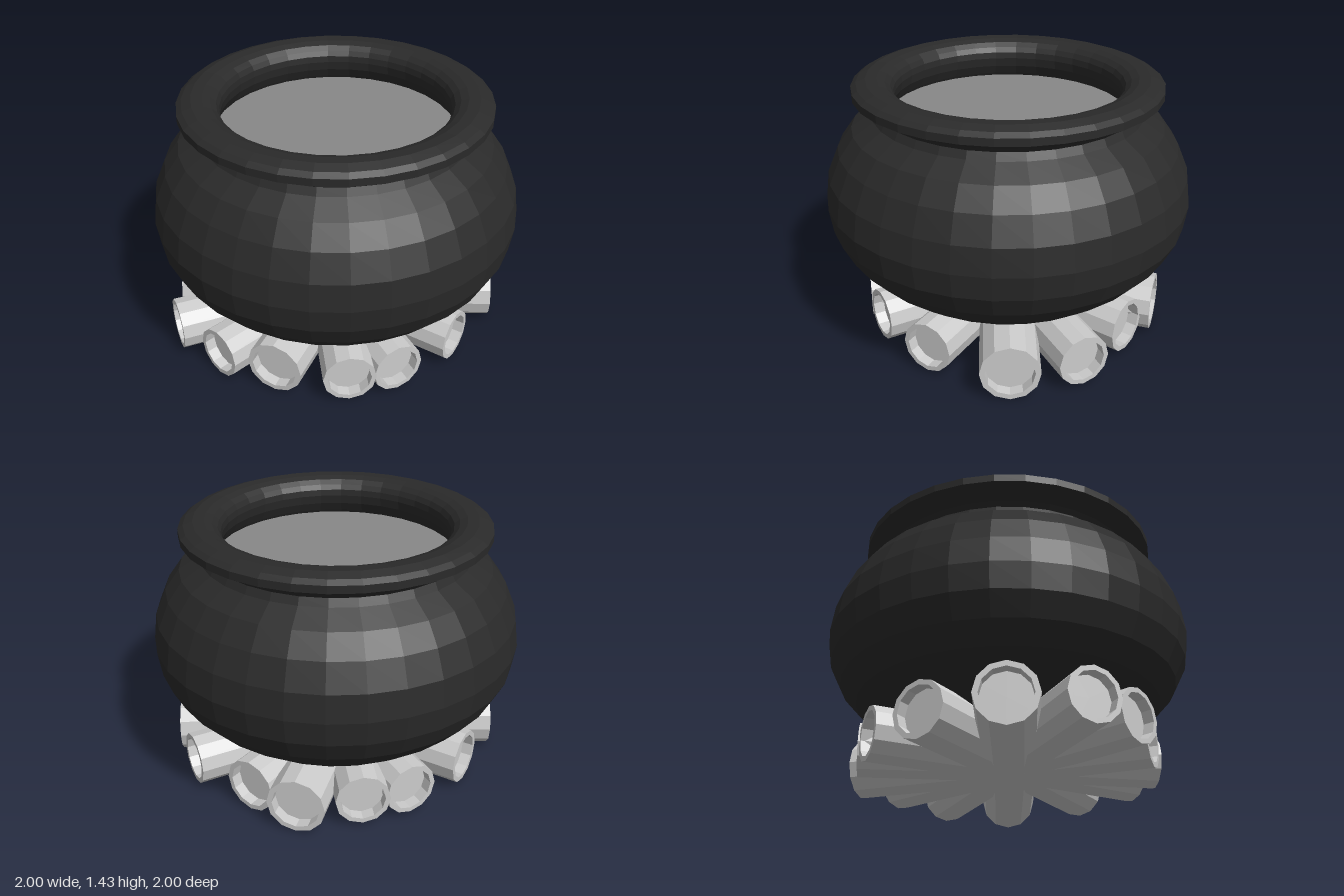
import * as THREE from 'three';

const mat = (color, extra = {}) => new THREE.MeshStandardMaterial({ color, flatShading: true, ...extra });

function lathe(name, profile, sides, material) {
  const points = profile.map(([r, y]) => new THREE.Vector2(r, y));
  const mesh = new THREE.Mesh(new THREE.LatheGeometry(points, sides), material);
  mesh.name = name;
  return mesh;
}

export function createModel() {
  const model = new THREE.Group();
  model.name = 'cauldronOnLogs';

  // Round belly, pinched neck, flared lip and inner wall
  const iron = mat(0x2a2a2a, { side: THREE.DoubleSide });
  model.add(lathe('pot', [
    [0, 0.16], [0.2, 0.17], [0.38, 0.2], [0.56, 0.255], [0.71, 0.325], [0.83, 0.42],
    [0.92, 0.52], [0.98, 0.64], [1, 0.775], [0.98, 0.92], [0.92, 1.06], [0.84, 1.17],
    [0.73, 1.24], [0.71, 1.28], [0.73, 1.305], [0.785, 1.33], [0.828, 1.355], [0.828, 1.395],
    [0.8, 1.415], [0.75, 1.433], [0.69, 1.43], [0.65, 1.416], [0.622, 1.393], [0.608, 1.365],
    [0.605, 1.33], [0.615, 1.28], [0.64, 1.23], [0.67, 1.18],
  ], 32, iron));

  // Liquid surface inside the neck
  const liquid = new THREE.Mesh(new THREE.CircleGeometry(0.65, 32), mat(0x888888));
  liquid.name = 'liquid';
  liquid.rotation.x = -Math.PI / 2;
  liquid.position.y = 1.215;
  model.add(liquid);

  // Logs fan out from one point, with recessed ends: end x, end z, radius
  const hub = new THREE.Vector3(-0.03, 0.16, 0);
  const logs = [
    [0.13, 0.78, 0.142], [0.515, 0.615, 0.142], [0.86, 0.27, 0.157], [0.875, -0.123, 0.142],
    [0.65, -0.465, 0.15], [0.475, -0.71, 0.157], [0.13, -0.78, 0.145], [-0.14, -0.78, 0.145],
    [-0.535, -0.61, 0.15], [-0.85, -0.275, 0.157], [-0.95, 0.11, 0.142], [-0.77, 0.41, 0.142],
    [-0.505, 0.605, 0.155], [-0.14, 0.79, 0.142],
  ];
  const wood = mat(0xcccccc);
  const logPile = new THREE.Group();
  logPile.name = 'logPile';
  logPile.position.copy(hub);
  for (const [x, z, r] of logs) {
    const length = Math.hypot(x - hub.x, z);
    const inner = r * 0.82;
    const log = lathe('log', [
      [r, 0], [r, length], [inner, length], [inner, length - 0.06], [0, length - 0.06],
    ], 12, wood);
    log.geometry.rotateX(Math.PI / 2);
    log.rotation.y = Math.atan2(x - hub.x, z);
    logPile.add(log);
  }
  model.add(logPile);
  return model;
}
